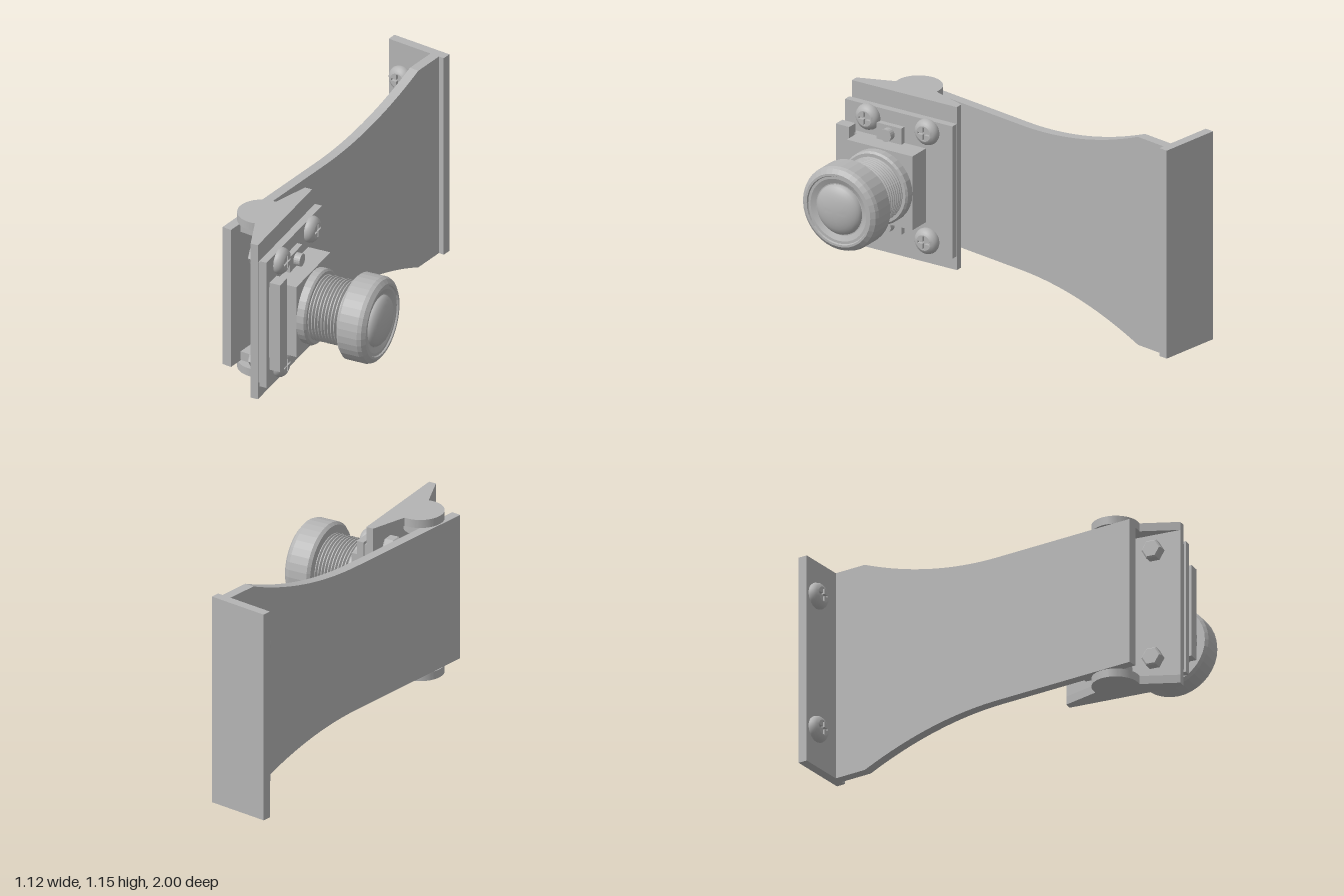
import * as THREE from 'three';
import { toCreasedNormals } from 'three/addons/utils/BufferGeometryUtils.js';

const grey = new THREE.MeshStandardMaterial({ color: 0xb4b4b4 });
grey.name = 'grey';

function add(parent, name, geo) {
  const m = new THREE.Mesh(geo, grey);
  m.name = name;
  parent.add(m);
  return m;
}

// Box given by its limits
function box(parent, name, x0, x1, y0, y1, z0, z1) {
  const g = new THREE.BoxGeometry(x1 - x0, y1 - y0, z1 - z0);
  g.translate((x0 + x1) / 2, (y0 + y1) / 2, (z0 + z1) / 2);
  return add(parent, name, g);
}

// Turned part along +x from [radius, x] pairs
function turned(points, sides = 32, crease = 0.3) {
  const g = new THREE.LatheGeometry(points.map(p => new THREE.Vector2(p[0], p[1])), sides);
  g.rotateZ(-Math.PI / 2);
  return toCreasedNormals(g, crease);
}

// Outline in x-z (symmetric in z), raised from y0 to y1
function slab(shape, y0, y1) {
  const g = new THREE.ExtrudeGeometry(shape, { depth: y1 - y0, bevelEnabled: false, curveSegments: 24 });
  g.rotateX(-Math.PI / 2);
  g.translate(0, y0, 0);
  return toCreasedNormals(g, 0.4);
}

// Pan-head screw with a cross recess, facing +x
function screw(name) {
  const s = new THREE.Group();
  s.name = name;
  add(s, 'screwHead', turned([[0, 0], [0.068, 0], [0.071, 0.012], [0.066, 0.028], [0.056, 0.04], [0.042, 0.047]], 28, 0.6));
  const cap = new THREE.Shape().absarc(0, 0, 0.042, 0, Math.PI * 2);
  const a = 0.036, b = 0.006;
  const cross = [[a, -b], [a, b], [b, b], [b, a], [-b, a], [-b, b], [-a, b], [-a, -b], [-b, -b], [-b, -a], [b, -a], [b, -b]];
  cap.holes.push(new THREE.Path(cross.map(p => new THREE.Vector2(p[0], p[1])).reverse()));
  const g = new THREE.ExtrudeGeometry(cap, { depth: 0.02, bevelEnabled: false, curveSegments: 28 });
  g.rotateY(Math.PI / 2);
  g.translate(0.027, 0, 0);
  add(s, 'crossRecess', g);
  const floor = new THREE.CircleGeometry(0.04, 16);
  floor.rotateY(Math.PI / 2);
  floor.translate(0.03, 0, 0);
  add(s, 'recessFloor', floor);
  return s;
}

export function createModel() {
  const model = new THREE.Group();
  model.name = 'cameraMount';
  const H = 1.155, PX = -0.175, PZ = 0.70, CY = 0.578;

  // Wall flange and its screws
  box(model, 'wallFlange', -0.56, -0.215, 0, H, -1, -0.95);
  for (const y of [0.205, 0.955]) {
    const s = screw('flangeScrew');
    s.rotation.y = -Math.PI / 2;
    s.position.set(-0.475, y, -0.95);
    model.add(s);
  }

  // Arm plate with curved waist
  const pts = [[-0.95, 0], [-0.77, 0]];
  const n = 20, low = 0.175, len = 0.82;
  const curve = [];
  for (let i = 0; i <= n; i++) {
    const t = i / n;
    curve.push([-0.77 + len * t, low * (1 - (1 - t) ** 2)]);
  }
  pts.push(...curve.slice(1), [0.87, low]);
  const all = [...pts, ...pts.slice().reverse().map(p => [p[0], H - p[1]])];
  const arm = new THREE.ExtrudeGeometry(
    new THREE.Shape(all.map(p => new THREE.Vector2(p[0], p[1]))), { depth: 0.053, bevelEnabled: false });
  arm.rotateY(-Math.PI / 2);
  arm.translate(-0.245, 0, 0);
  add(model, 'armPlate', toCreasedNormals(arm, 0.3));

  // Hinge knuckles on the arm
  const knuckle = new THREE.Shape();
  knuckle.moveTo(-0.08, -0.085);
  knuckle.lineTo(0, -0.085);
  knuckle.absarc(0, 0, 0.085, -Math.PI / 2, Math.PI / 2);
  knuckle.lineTo(-0.08, 0.085);
  for (const y of [0.178, 0.93]) {
    add(model, 'armKnuckle', slab(knuckle, y, y + 0.05)).position.set(PX, 0, PZ);
  }

  // Swivelling head: local x points out along the lens
  const head = new THREE.Group();
  head.name = 'cameraHead';
  head.position.set(PX, 0, PZ);
  head.rotation.y = THREE.MathUtils.degToRad(10);
  model.add(head);

  // Bracket with rounded hinge ears
  box(head, 'bracketPlate', 0.092, 0.133, 0.127, 1.032, -0.32, 0.32);
  const ear = new THREE.Shape();
  ear.moveTo(0.132, -0.32);
  ear.lineTo(0.132, 0.32);
  ear.lineTo(0.092, 0.32);
  ear.absarc(0, 0, 0.125, 1.4, Math.PI * 2 - 1.4);
  ear.lineTo(0.092, -0.32);
  for (const y of [0.127, 0.987]) add(head, 'hingeEar', slab(ear, y, y + 0.045));

  // Circuit board, with screws in front and nuts behind
  box(head, 'circuitBoard', 0.145, 0.185, 0.21, 0.945, -0.327, 0.327);
  box(head, 'boardSpacer', 0.133, 0.145, 0.225, 0.93, -0.315, 0.315);
  for (const y of [0.28, 0.885]) for (const z of [-0.18, 0.18]) {
    const s = screw('boardScrew');
    s.position.set(0.185, y, z);
    head.add(s);
    const nut = turned([[0, 0.032], [0.047, 0.032], [0.055, 0.04], [0.055, 0.084], [0.049, 0.092]], 6, 0.1);
    add(head, 'hexNut', nut).position.set(0, y, z);
  }

  // Cable connector along the front edge
  box(head, 'connectorBase', 0.185, 0.215, 0.375, 0.785, 0.235, 0.30);
  box(head, 'connector', 0.205, 0.265, 0.325, 0.835, 0.25, 0.332);

  // Lens holder with pinned tabs
  box(head, 'holderTab', 0.185, 0.215, 0.285, 0.875, -0.035, 0.115);
  for (const y of [0.325, 0.83]) {
    add(head, 'holderPin', turned([[0.034, 0.21], [0.034, 0.25], [0, 0.25]], 20)).position.set(0, y, 0.04);
  }
  box(head, 'lensHolder', 0.185, 0.31, 0.375, 0.785, -0.165, 0.235);

  // Lens: collar, threaded barrel, head ring and glass
  const lens = new THREE.Group();
  lens.name = 'lens';
  lens.position.set(0, CY, 0.035);
  head.add(lens);
  add(lens, 'collar', turned([[0.2, 0.305], [0.2, 0.35], [0.19, 0.36], [0, 0.36]], 32, 0.1));
  const thread = [];
  for (let i = 0; i < 11; i++) {
    const u = 0.355 + i * 0.018;
    thread.push([0.16, u], [0.173, u + 0.006], [0.173, u + 0.011]);
  }
  thread.push([0.16, 0.555]);
  add(lens, 'threadedBarrel', turned(thread, 36, 0.3));
  add(lens, 'lensRing', turned([[0, 0.545], [0.216, 0.545], [0.23, 0.56], [0.23, 0.665], [0.222, 0.685], [0.2, 0.702],
    [0.188, 0.702], [0.184, 0.694], [0.17, 0.694], [0.142, 0.682], [0, 0.682]], 36, 0.1));
  const glass = [];
  for (let i = 0; i <= 8; i++) {
    const t = (i / 8) * Math.PI / 2;
    glass.push([0.137 * Math.cos(t), 0.68 + 0.055 * Math.sin(t)]);
  }
  add(lens, 'frontGlass', turned(glass, 36, 1));

  return model;
}
